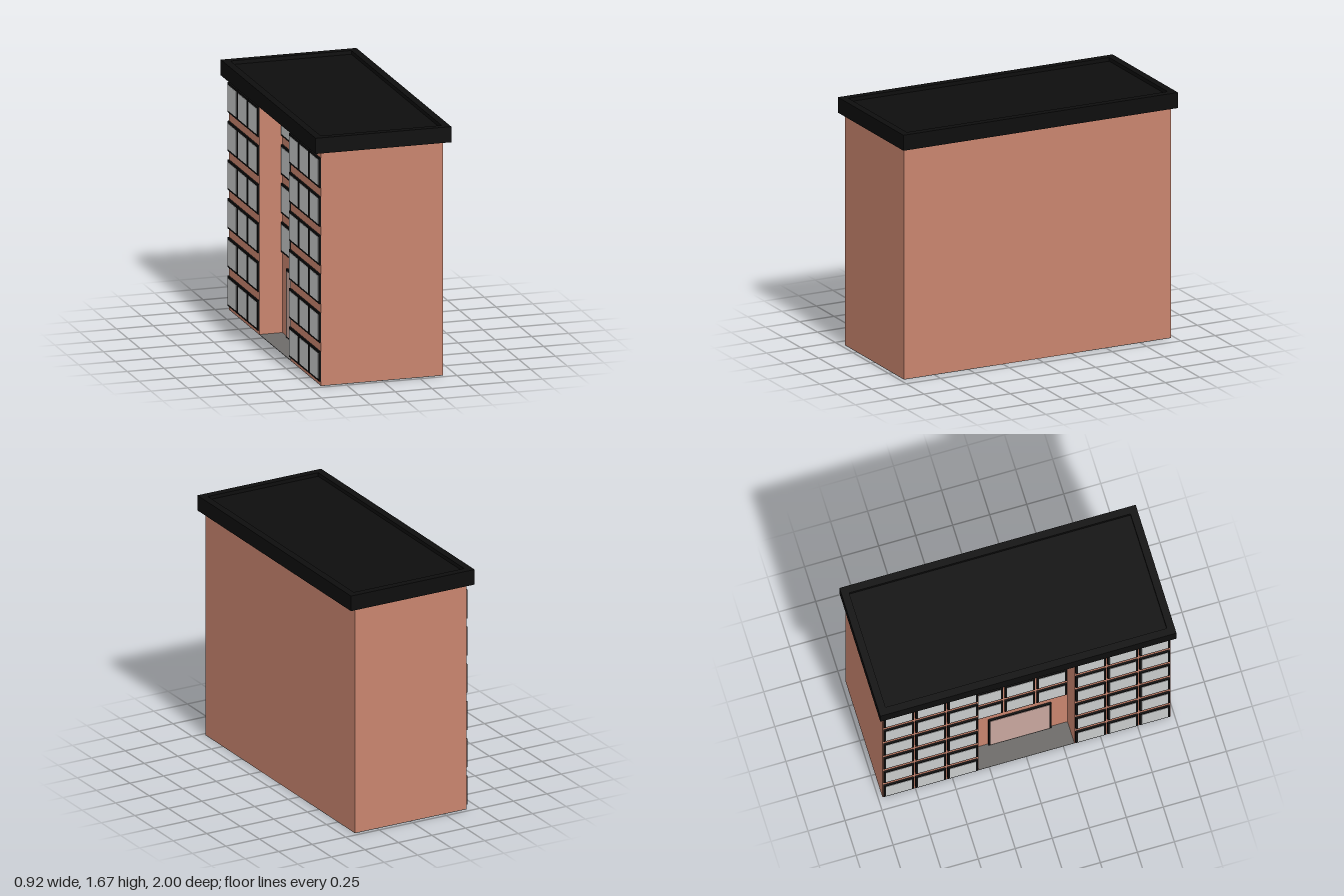
import * as THREE from 'three';

const mat = (name, color) => {
  const m = new THREE.MeshStandardMaterial({ color });
  m.name = name;
  return m;
};

export function createModel() {
  const brick = mat('brick', 0xc8846e);
  const black = mat('black trim', 0x0d0d0d);
  const glass = mat('window glass', 0xc9cbcb);
  const doorGlass = mat('door glass', 0xc8a79e);
  const concrete = mat('concrete', 0x6d6b69);

  const building = new THREE.Group();
  building.name = 'apartmentBlock';

  // Box given by its limits on each axis
  const box = (name, material, [x0, x1], [y0, y1], [z0, z1], parent = building) => {
    const mesh = new THREE.Mesh(new THREE.BoxGeometry(x1 - x0, y1 - y0, z1 - z0), material);
    mesh.position.set((x0 + x1) / 2, (y0 + y1) / 2, (z0 + z1) / 2);
    mesh.name = name;
    parent.add(mesh);
    return mesh;
  };

  const W = 0.415, L = 0.972, T = L / 3, TOP = 1.57;
  const recess = -0.26, base = 0.004;

  // Two wings and the set-back middle section
  for (const s of [-1, 1]) {
    const z = s < 0 ? [-L, -T] : [T, L];
    box('wing', brick, [-W, W], [base, TOP], z);
    box('wingBase', concrete, [-W, W], [0, base], z);
  }
  box('middleSection', brick, [recess, W], [0, TOP], [-T, T]);
  box('entranceFloor', concrete, [-W, recess], [0, base], [-T, T]);

  // Flat roof with a low rim
  const RX = 0.461, RZ = 1, rim = 0.05, roofTop = 1.675, deck = 1.65;
  box('roofSlab', black, [-RX, RX], [TOP, deck], [-RZ, RZ]);
  for (const s of [-1, 1]) {
    const side = s < 0 ? [-RX, -RX + rim] : [RX - rim, RX];
    const end = s < 0 ? [-RZ, -RZ + rim] : [RZ - rim, RZ];
    box('roofRimSide', black, side, [deck, roofTop], [-RZ, RZ]);
    box('roofRimEnd', black, [-RX + rim, RX - rim], [deck, roofTop], end);
  }

  // Framed pane standing on a wall that faces -x
  const framedPane = (name, paneMaterial, wallX, y0, y1, z, width, border, bottomBorder = border) => {
    const group = new THREE.Group();
    group.name = name;
    const h = width / 2;
    box('frame', black, [wallX - 0.012, wallX], [y0, y1], [z - h, z + h], group);
    box('pane', paneMaterial, [wallX - 0.014, wallX - 0.01],
      [y0 + bottomBorder, y1 - border], [z - h + border, z + h - border], group);
    building.add(group);
  };

  // Nine columns of windows; the middle three start above the door
  const pitch = (2 * L) / 9;
  for (let col = 0; col < 9; col++) {
    const middle = col >= 3 && col < 6;
    for (let row = middle ? 2 : 0; row < 6; row++) {
      const y = 0.03 + row * 0.26;
      framedPane('window', glass, middle ? recess : -W, y, y + 0.2, (col - 4) * pitch, 0.205, 0.014);
    }
  }

  // Wide glazed entrance
  framedPane('entranceDoor', doorGlass, recess, base, 0.465, 0, 0.425, 0.014, 0.01);

  return building;
}
